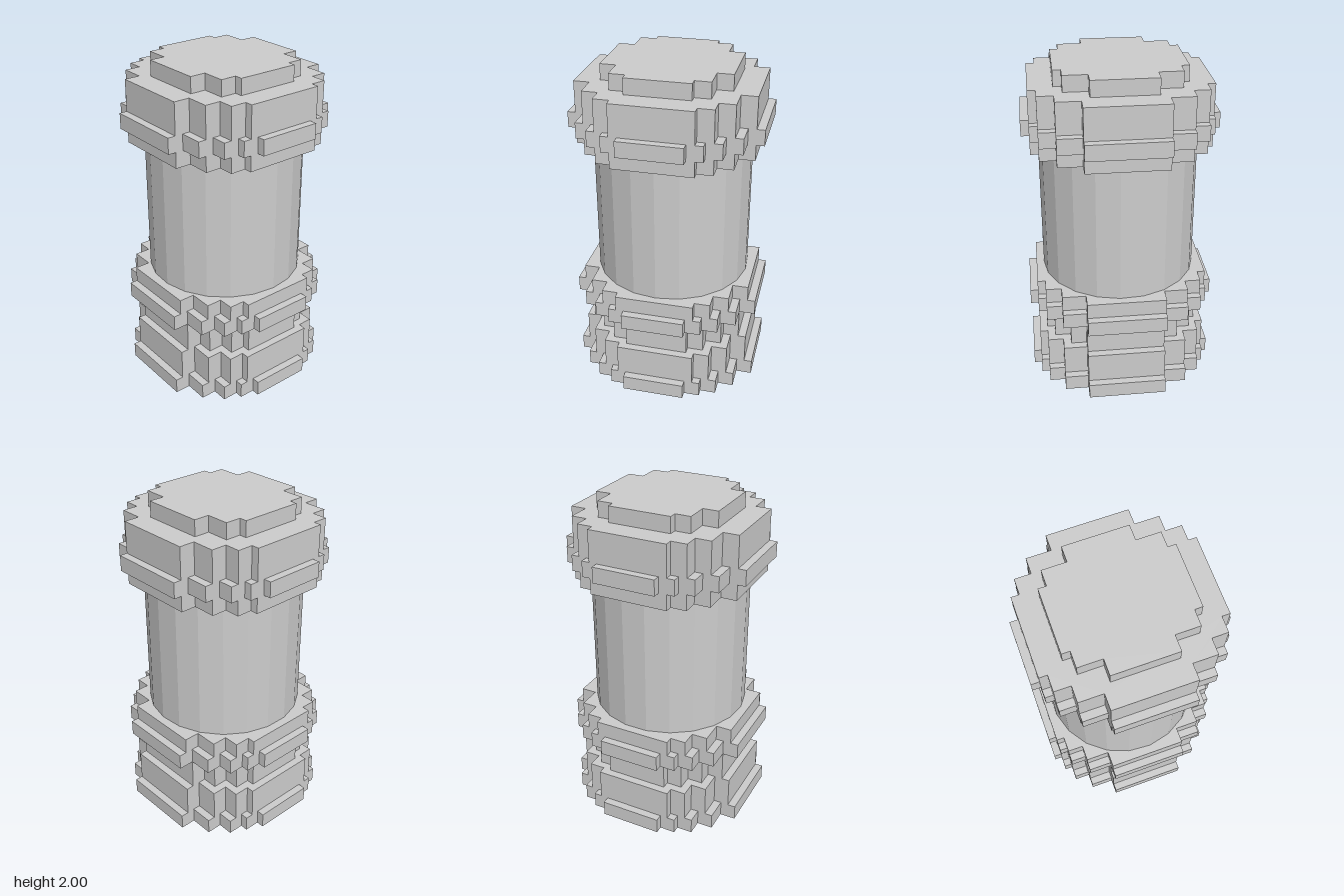
import * as THREE from 'three';

const U = 2 / 42; // one block step

// Stepped outlines: [half width, depth reached], widest row first
const FLANGE = [[12, 5], [10, 8], [8, 10], [6, 11], [4, 12]];
const BODY = [[11, 5], [9, 8], [7, 10], [5, 11]];
const NECK = [[10, 5], [8, 7], [6, 9], [4, 10]];
const CAP = [[8, 4], [6, 7], [4, 8]];

// Extrudes a stepped outline, mirrored into four quarters, from y0 to y1
function layer(steps, y0, y1) {
  const quarter = [];
  steps.forEach(([w, d], i) => {
    quarter.push([w, i ? steps[i - 1][1] : 0], [w, d]);
  });
  quarter.shift(); // the point on the axis is not a corner
  const back = [...quarter].reverse();
  const points = [
    ...quarter,
    ...back.map(([x, z]) => [-x, z]),
    ...quarter.map(([x, z]) => [-x, -z]),
    ...back.map(([x, z]) => [x, -z]),
  ].map(([x, z]) => new THREE.Vector2(x * U, z * U));
  const geo = new THREE.ExtrudeGeometry(new THREE.Shape(points), {
    depth: (y1 - y0) * U, bevelEnabled: false,
  });
  return geo.rotateX(-Math.PI / 2).translate(0, y0 * U, 0);
}

export function createModel() {
  const model = new THREE.Group();
  model.name = 'column';
  const grey = new THREE.MeshStandardMaterial({ color: 0xcccccc });
  grey.name = 'light grey';

  const add = (name, geo) => {
    const mesh = new THREE.Mesh(geo, grey);
    mesh.name = name;
    model.add(mesh);
  };

  // Stepped base, collar and cap, heights in block steps
  const layers = [
    ['baseFlange', FLANGE, 0, 2],
    ['baseBody', BODY, 2, 6],
    ['baseNeck', NECK, 6, 10],
    ['baseUpperFlange', FLANGE, 10, 12],
    ['baseRim', BODY, 12, 14],
    ['headRim', BODY, 32, 34],
    ['headFlange', FLANGE, 34, 36],
    ['headBody', BODY, 36, 40],
    ['topCap', CAP, 40, 42],
  ];
  for (const [name, steps, y0, y1] of layers) add(name, layer(steps, y0, y1));

  // Faceted shaft between base and head
  const shaft = new THREE.CylinderGeometry(10 * U, 10 * U, 18 * U, 21, 1, true).toNonIndexed();
  shaft.computeVertexNormals();
  shaft.translate(0, 23 * U, 0);
  add('shaft', shaft);

  return model;
}
